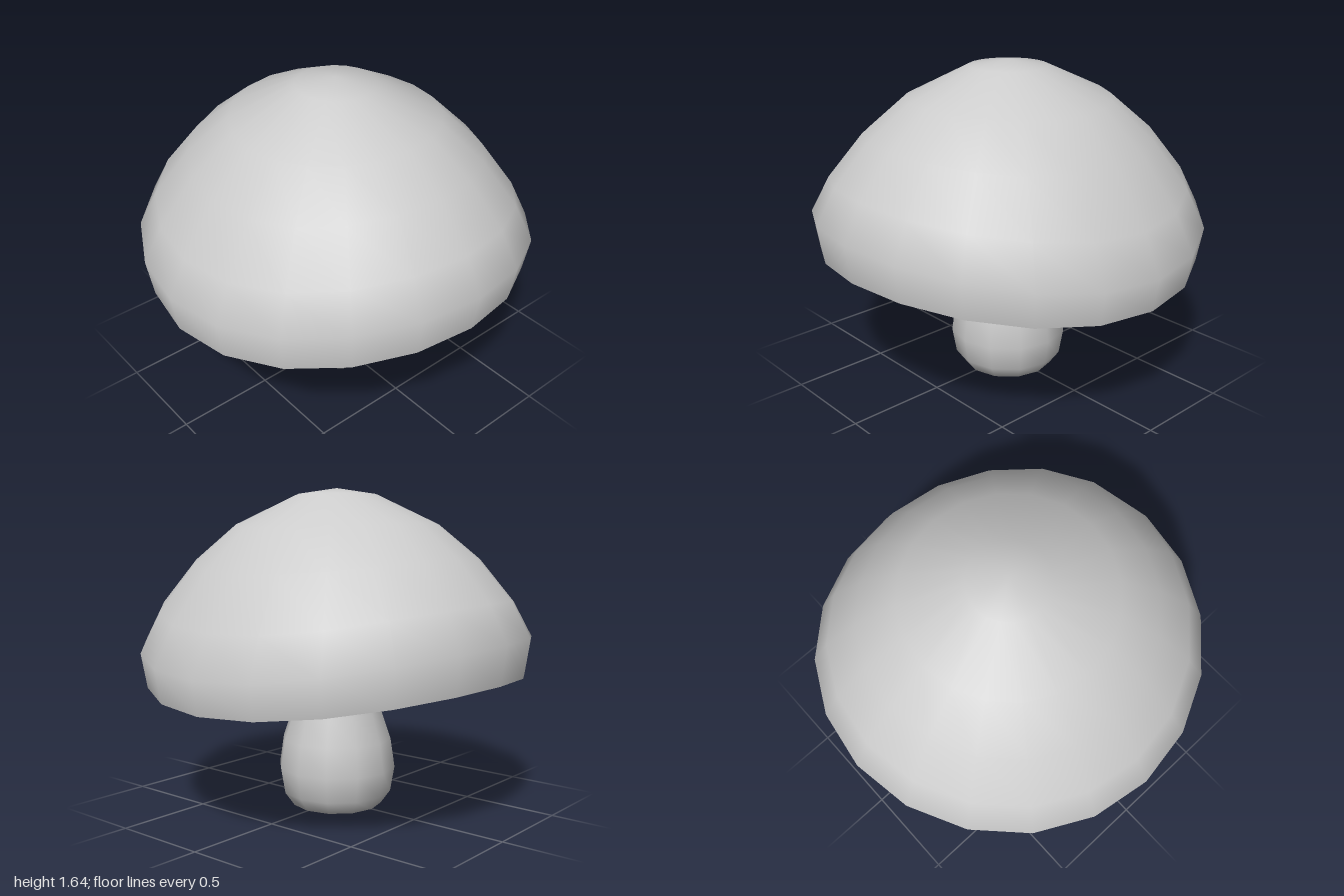
import * as THREE from 'three';
import { mergeVertices } from 'three/addons/utils/BufferGeometryUtils.js';

const material = new THREE.MeshStandardMaterial({ color: 0xcccccc });

// Smooth lathe from [radius, height, saddle, tilt] rows, listed from the bottom up.
// saddle lifts the left and right sides and lowers front and back; tilt raises the front.
function lathePart(name, rows, sides) {
  const profile = rows.map(([r, y]) => new THREE.Vector2(r, y));
  const lathe = new THREE.LatheGeometry(profile, sides);
  const pos = lathe.attributes.position;
  for (let i = 0; i < pos.count; i++) {
    const [, y, saddle = 0, tilt = 0] = rows[i % rows.length];
    const angle = Math.atan2(pos.getZ(i), pos.getX(i));
    pos.setY(i, y + saddle * Math.cos(2 * angle) + tilt * Math.sin(angle));
  }
  // Weld the seam and poles so the shading runs round without a break
  lathe.deleteAttribute('uv');
  lathe.deleteAttribute('normal');
  const geometry = mergeVertices(lathe, 1e-4);
  geometry.computeVertexNormals();
  const mesh = new THREE.Mesh(geometry, material);
  mesh.name = name;
  return mesh;
}

export function createModel() {
  const mushroom = new THREE.Group();
  mushroom.name = 'mushroom';

  // Domed cap with a wavy rim
  const rim = [0.97, 0.674, 0.054, 0.005];
  const cap = new THREE.Group();
  cap.name = 'cap';
  cap.add(lathePart('capDome', [
    rim,
    [1.0, 0.86, 0.06, 0.02],
    [0.905, 1.045, 0.055, 0.01],
    [0.73, 1.27, 0.03, 0.005],
    [0.52, 1.453, 0.012],
    [0.2, 1.61],
    [0, 1.64],
  ], 20));

  // Shallow hollow under the cap
  cap.add(lathePart('capUnderside', [[0, 0.88], [0.2, 0.85, 0.01], rim], 20));
  mushroom.add(cap);

  // Bulbous stem, running up into the cap
  mushroom.add(lathePart('stem', [
    [0, 0],
    [0.235, 0],
    [0.285, 0.07],
    [0.307, 0.2],
    [0.285, 0.35],
    [0.237, 0.49],
    [0.208, 0.62],
    [0.198, 0.74],
    [0.195, 0.92],
  ], 12));

  return mushroom;
}
